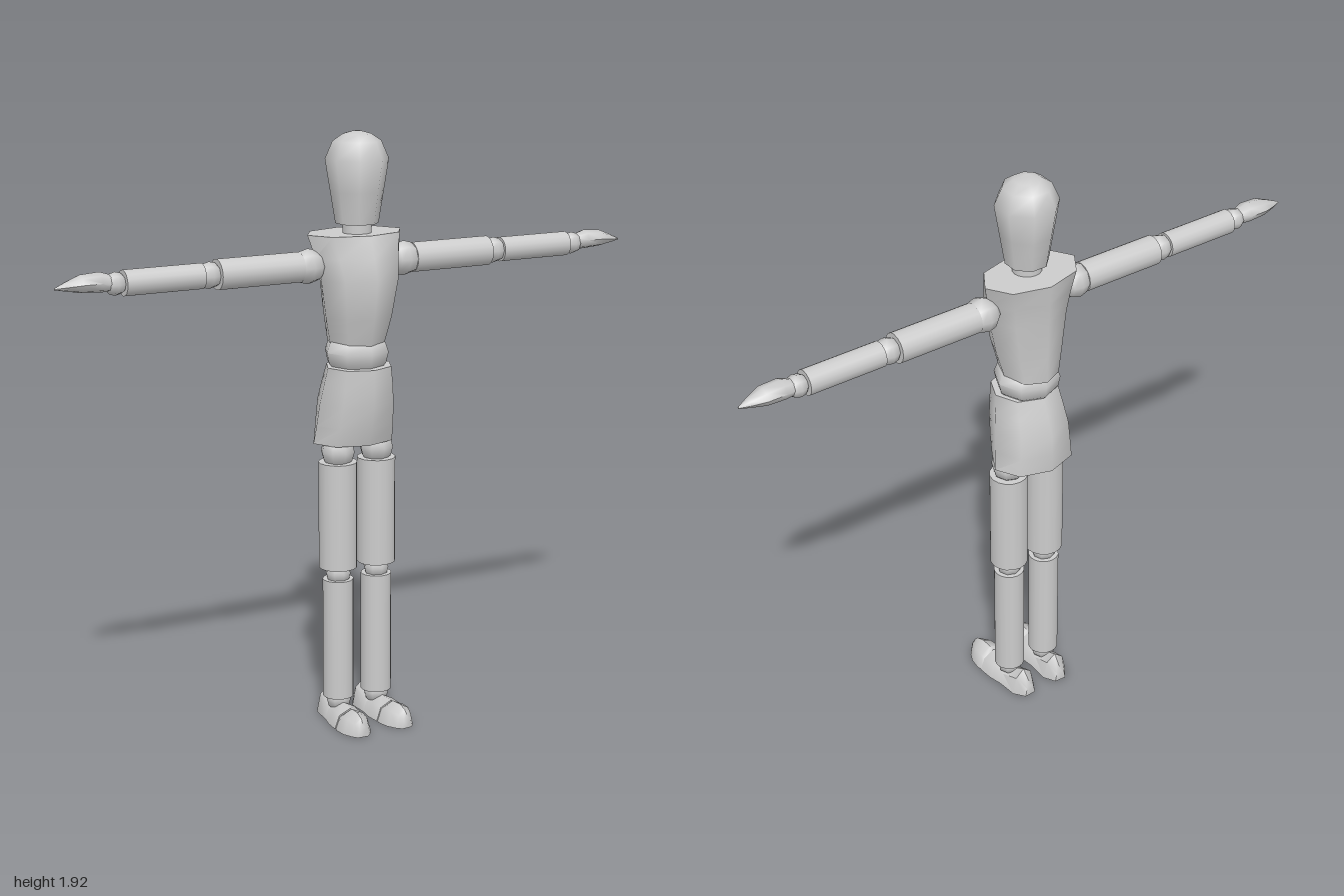
import * as THREE from 'three';
import { toCreasedNormals } from 'three/addons/utils/BufferGeometryUtils.js';

const SIDES = 8;
const AXIS_Z = -0.025;
const material = new THREE.MeshStandardMaterial({ color: 0xcccccc });

// Closed skin over octagonal rings [height, half width, z back, z front].
function loft(rings, { turn = 0, floor = false } = {}) {
  const pos = [], index = [];
  for (const [y, rx, z0, z1] of rings) {
    for (let j = 0; j < SIDES; j++) {
      const a = ((j + turn) / SIDES) * Math.PI * 2;
      let z = (z0 + z1) / 2 + Math.cos(a) * (z1 - z0) / 2;
      if (floor) z = Math.min(z, 0);
      pos.push(Math.sin(a) * rx, y, z);
    }
  }
  const last = rings.length - 1;
  for (let i = 0; i < last; i++) {
    for (let j = 0; j < SIDES; j++) {
      const a = i * SIDES + j, b = i * SIDES + (j + 1) % SIDES;
      index.push(a, b, b + SIDES, a, b + SIDES, a + SIDES);
    }
  }
  for (let j = 1; j < SIDES - 1; j++) {
    const t = last * SIDES;
    index.push(0, j + 1, j, t, t + j, t + j + 1);
  }
  const g = new THREE.BufferGeometry();
  g.setAttribute('position', new THREE.Float32BufferAttribute(pos, 3));
  g.setIndex(index);
  return toCreasedNormals(g, Math.PI * 0.3);
}

// Loft laid along +z: rings are [z, half width, y bottom, y top].
function lyingLoft(rings, floor) {
  return loft(rings.map(([t, rx, y0, y1]) => [t, rx, -y1, -y0]), { floor }).rotateX(Math.PI / 2);
}

function add(parent, name, geometry, x = 0, y = 0, z = 0) {
  const mesh = new THREE.Mesh(geometry, material);
  mesh.name = name;
  mesh.position.set(x, y, z);
  parent.add(mesh);
  return mesh;
}

const ball = (r) => new THREE.SphereGeometry(r, SIDES, 6);

function rod(r, length) {
  return new THREE.CylinderGeometry(r, r, length, SIDES * 2);
}

function makeArm(s) {
  const arm = new THREE.Group();
  arm.name = s > 0 ? 'leftArm' : 'rightArm';
  arm.position.set(0, 1.505, -0.032);
  const joints = [['shoulder', 0.17, 0.056], ['elbow', 0.505, 0.042], ['wrist', 0.81, 0.036]];
  for (const [name, x, r] of joints) add(arm, name, ball(r).rotateZ(Math.PI / 2), s * x);
  const limbs = [['upperArm', 0.2, 0.48, 0.048], ['forearm', 0.53, 0.785, 0.04]];
  for (const [name, a, b, r] of limbs) {
    add(arm, name, rod(r, b - a).rotateZ(Math.PI / 2), s * (a + b) / 2);
  }
  // Tapered mitten hand, thumbless, tip slightly drooping
  const hand = lyingLoft([
    [0.815, 0.024, -0.022, 0.026], [0.86, 0.036, -0.022, 0.04], [0.92, 0.036, -0.018, 0.036],
    [0.965, 0.02, -0.01, 0.018], [1, 0.003, -0.003, 0.002],
  ], false).rotateY(s * Math.PI / 2);
  add(arm, 'hand', hand);
  return arm;
}

function makeLeg(s) {
  const leg = new THREE.Group();
  leg.name = s > 0 ? 'leftLeg' : 'rightLeg';
  leg.position.set(s * 0.07, 0, AXIS_Z);
  const joints = [['hip', 0.905, 0.056], ['knee', 0.5, 0.042], ['ankle', 0.07, 0.042]];
  for (const [name, y, r] of joints) add(leg, name, ball(r), 0, y);
  const limbs = [['thigh', 0.52, 0.87, 0.062], ['shin', 0.08, 0.48, 0.05]];
  for (const [name, a, b, r] of limbs) add(leg, name, rod(r, b - a), 0, (a + b) / 2);

  // Two-piece foot, flat underneath
  const foot = new THREE.Group();
  foot.name = 'foot';
  foot.rotation.y = s * 0.06;
  add(foot, 'heel', lyingLoft([
    [-0.112, 0.02, -0.045, 0.045], [-0.075, 0.044, -0.088, 0.088], [-0.005, 0.046, -0.05, 0.05],
    [0.04, 0.054, -0.066, 0.066], [0.09, 0.054, -0.062, 0.062],
  ], true));
  add(foot, 'toe', lyingLoft([
    [0.088, 0.05, -0.056, 0.056], [0.105, 0.055, -0.066, 0.066], [0.145, 0.048, -0.068, 0.068],
    [0.175, 0.032, -0.058, 0.058], [0.19, 0.018, -0.042, 0.042],
  ], true));
  leg.add(foot);
  return leg;
}

export function createModel() {
  const model = new THREE.Group();
  model.name = 'mannequin';

  // Egg-shaped head on a short neck
  add(model, 'head', loft([
    [1.63, 0.068, -0.068, 0.068], [1.73, 0.084, -0.084, 0.084], [1.83, 0.1, -0.1, 0.1],
    [1.885, 0.076, -0.076, 0.076], [1.907, 0.044, -0.044, 0.044], [1.916, 0.01, -0.01, 0.01],
  ], { turn: 0.5 }), 0, 0, AXIS_Z);
  add(model, 'neck', rod(0.046, 0.07), 0, 1.61, AXIS_Z);

  // Trunk: chest, waist ball and pelvis
  add(model, 'chest', loft([
    [1.25, 0.09, -0.135, 0.066], [1.34, 0.112, -0.134, 0.09], [1.46, 0.132, -0.138, 0.11],
    [1.53, 0.146, -0.143, 0.09], [1.6, 0.165, -0.15, 0.065],
  ]));
  add(model, 'waist', loft([
    [1.165, 0.075, -0.1, 0.05], [1.19, 0.098, -0.124, 0.068], [1.225, 0.106, -0.13, 0.076],
    [1.255, 0.095, -0.12, 0.066], [1.275, 0.07, -0.095, 0.045],
  ]));
  add(model, 'pelvis', loft([
    [0.93, 0.142, -0.162, 0.055], [0.99, 0.135, -0.163, 0.074], [1.06, 0.128, -0.16, 0.087],
    [1.12, 0.12, -0.138, 0.09], [1.18, 0.11, -0.115, 0.088],
  ]));

  for (const s of [1, -1]) model.add(makeArm(s), makeLeg(s));
  return model;
}
